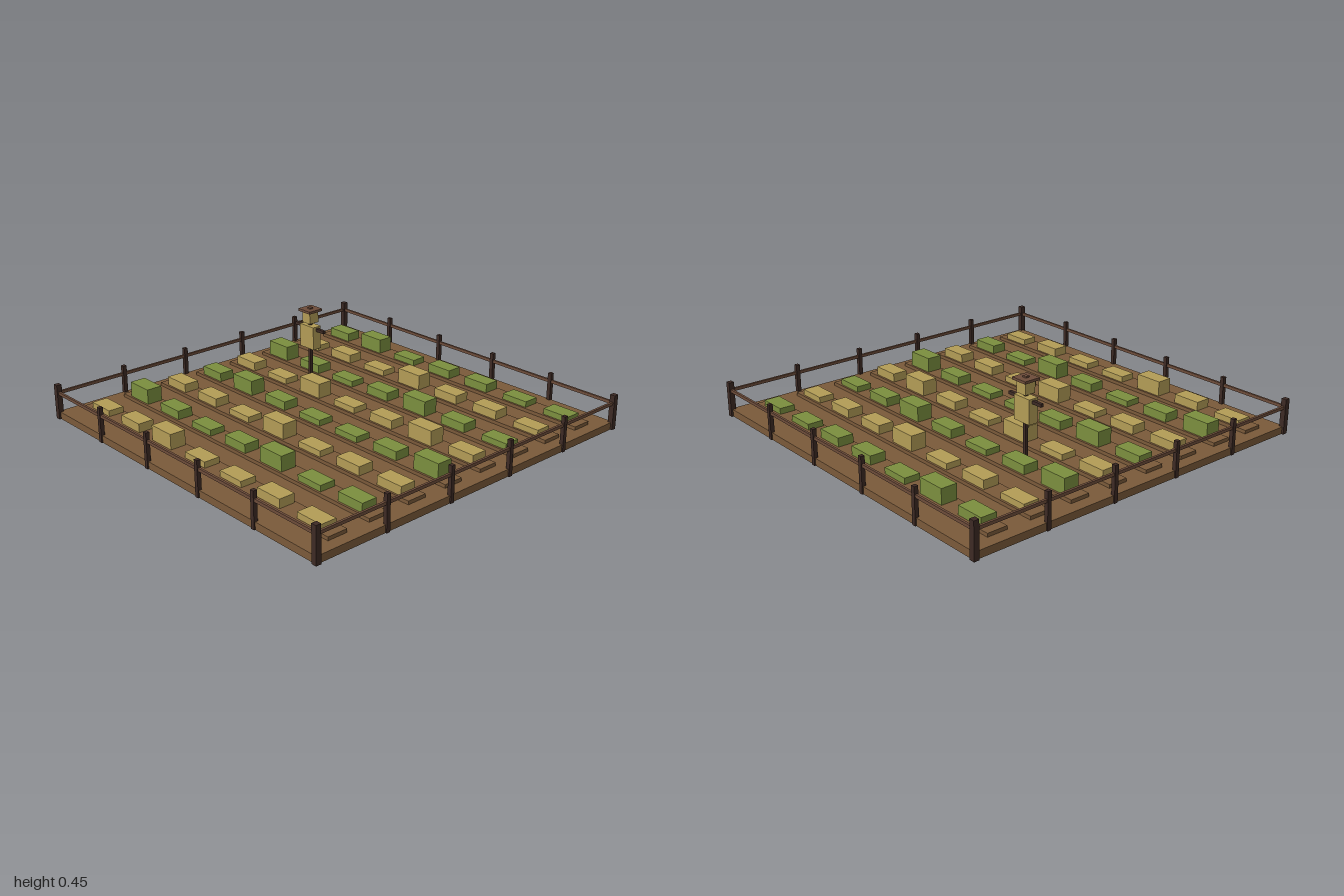
import * as THREE from 'three';

const mat = (name, color) => Object.assign(new THREE.MeshStandardMaterial({ color }), { name });

export function createModel() {
  const soil = mat('soil', 0x7a5a3a);
  const wheat = mat('straw', 0xb39c56);
  const leaf = mat('leaf green', 0x7b8e3e);
  const rail = mat('rail brown', 0x6d4c3a);
  const dark = mat('dark wood', 0x3d2a24);

  const model = new THREE.Group();
  const group = (name) => {
    const g = new THREE.Group();
    g.name = name;
    model.add(g);
    return g;
  };
  // box standing on height y
  const box = (parent, name, m, w, h, d, x, y, z) => {
    const mesh = new THREE.Mesh(new THREE.BoxGeometry(w, h, d), m);
    mesh.name = name;
    mesh.position.set(x, y + h / 2, z);
    parent.add(mesh);
  };

  box(model, 'ground', soil, 1.98, 0.038, 1.98, 0, 0, 0);

  // planted rows from back to front; digits choose low, medium or tall crops
  const sizes = [0.032, 0.047, 0.08];
  const rows = ['1201100', '0102110', '2101210', '1020121', '1210012', '1102011', '2101201', '0120010'];
  const field = group('field');
  rows.forEach((row, r) => {
    const z = -0.817 + r * 0.2335;
    box(field, 'bed', soil, 1.855, 0.02, 0.107, 0, 0.036, z);
    [...row].forEach((s, c) => {
      box(field, 'crop', r % 2 ? wheat : leaf, 0.152, sizes[s], 0.085, (c - 3) * 0.2655, 0.055, z);
    });
  });

  // fence: posts at even spacing on each side, one rail per side
  const fence = group('fence');
  const E = 0.986;
  for (const s of [-1, 1]) {
    box(fence, 'rail', rail, 2 * E, 0.016, 0.012, 0, 0.132, s * E);
    box(fence, 'rail', rail, 0.012, 0.016, 2 * E, s * E, 0.132, 0);
    for (const t of [-1, 1]) box(fence, 'cornerPost', dark, 0.028, 0.185, 0.028, s * E, 0, t * E);
    for (let i = 1; i < 5; i++) {
      const p = -E + (i * 2 * E) / 5;
      box(fence, 'post', dark, 0.021, 0.185, 0.021, p, 0, s * E);
      box(fence, 'post', dark, 0.021, 0.185, 0.021, s * E, 0, p);
    }
  }

  // scarecrow
  const crow = group('scarecrow');
  crow.position.set(-0.45, 0, -0.245);
  box(crow, 'pole', dark, 0.017, 0.36, 0.017, 0, 0.036, 0);
  box(crow, 'body', wheat, 0.106, 0.125, 0.053, 0, 0.23, 0);
  box(crow, 'arms', dark, 0.224, 0.016, 0.017, 0, 0.331, 0);
  box(crow, 'head', wheat, 0.06, 0.062, 0.06, 0, 0.37, 0);
  box(crow, 'hatBrim', rail, 0.09, 0.013, 0.09, 0, 0.432, 0);
  box(crow, 'hatTop', rail, 0.022, 0.007, 0.022, 0, 0.445, 0);

  return model;
}
